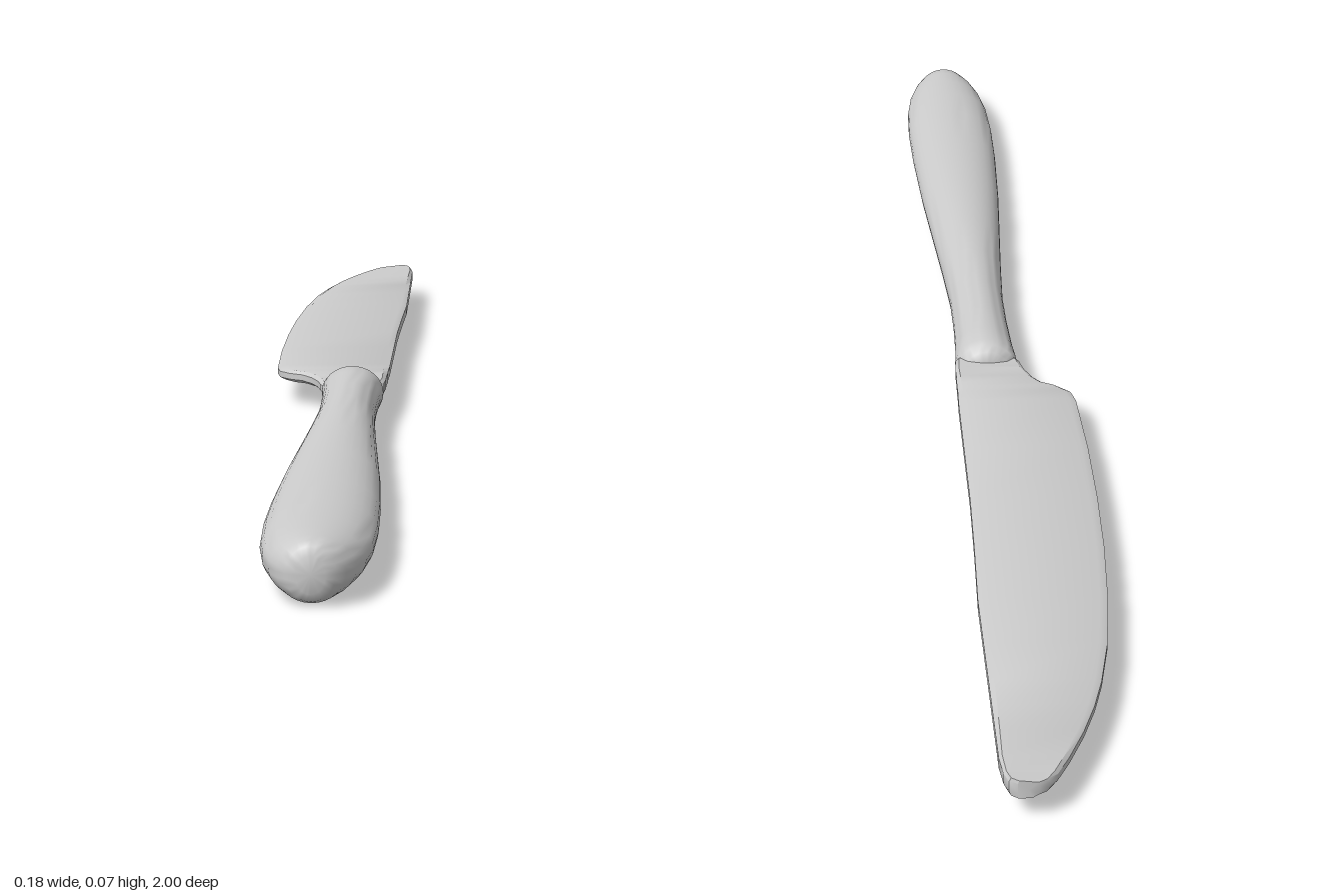
import * as THREE from 'three';
import { toCreasedNormals } from 'three/addons/utils/BufferGeometryUtils.js';

// Skin equal-sized rings (counter-clockwise seen from +z, ordered by rising z) and cap both ends.
function loft(rings, crease) {
  const n = rings[0].length, pos = [], index = [];
  rings.forEach(r => r.forEach(p => pos.push(...p)));
  for (let i = 0; i < rings.length - 1; i++) {
    for (let j = 0; j < n; j++) {
      const a = i * n + j, b = i * n + (j + 1) % n;
      index.push(a, b, b + n, a, b + n, a + n);
    }
  }
  [0, rings.length - 1].forEach(i => {
    const c = pos.length / 3;
    pos.push(...[0, 1, 2].map(k => rings[i].reduce((s, p) => s + p[k], 0) / n));
    for (let j = 0; j < n; j++) {
      const a = i * n + j, b = i * n + (j + 1) % n;
      if (i) index.push(c, a, b); else index.push(c, b, a);
    }
  });
  const g = new THREE.BufferGeometry();
  g.setAttribute('position', new THREE.Float32BufferAttribute(pos, 3));
  g.setIndex(index);
  return toCreasedNormals(g, crease);
}

export function createModel() {
  const steel = new THREE.MeshStandardMaterial({ color: 0xcccccc });
  steel.name = 'steel';
  const group = new THREE.Group();
  group.name = 'tableKnife';
  const add = (name, geometry) => {
    const mesh = new THREE.Mesh(geometry, steel);
    mesh.name = name;
    group.add(mesh);
  };

  // Handle: elliptical sections [z, half width, half height], widening towards a rounded butt
  const handle = [
    [-0.014, 0.016, 0.014], [-0.009, 0.031, 0.027], [0, 0.039, 0.034], [0.012, 0.0415, 0.0365],
    [0.05, 0.039, 0.0365], [0.12, 0.037, 0.036], [0.2, 0.037, 0.036], [0.3, 0.042, 0.036],
    [0.4, 0.048, 0.036], [0.55, 0.057, 0.036], [0.7, 0.063, 0.036], [0.8, 0.0645, 0.036],
    [0.88, 0.062, 0.036], [0.93, 0.056, 0.036], [0.965, 0.047, 0.0355], [0.985, 0.037, 0.034],
    [0.995, 0.027, 0.03], [1, 0.016, 0.021],
  ].map(([z, w, h]) => Array.from({ length: 32 }, (_, j) => {
    const t = j / 32 * Math.PI * 2;
    return [0.0225 + w * Math.cos(t), 0.039 + h * Math.sin(t), z];
  }));
  add('handle', loft(handle, 1.0));

  // Blade: sections [z, cutting edge x, spine x], with the underside rising to the cutting edge
  const blade = [
    [-1, 0.036, 0.06], [-0.994, 0.025, 0.069], [-0.98, 0.015, 0.074], [-0.95, 0, 0.077],
    [-0.9, -0.021, 0.077], [-0.85, -0.038, 0.077], [-0.8, -0.051, 0.077], [-0.72, -0.066, 0.077],
    [-0.62, -0.077, 0.077], [-0.5, -0.085, 0.073], [-0.38, -0.089, 0.07], [-0.25, -0.09, 0.069],
    [-0.12, -0.087, 0.068], [-0.095, -0.082, 0.067], [-0.08, -0.068, 0.067], [-0.07, -0.05, 0.067],
    [-0.05, -0.036, 0.066], [-0.025, -0.026, 0.066], [0, -0.021, 0.064], [0.008, -0.015, 0.055],
  ].map(([z, l, r]) => {
    const w = r - l;
    return [
      [r, 0.037, z], [r, 0.05, z], [r - 0.05 * w, 0.054, z], [l + 0.06 * w, 0.051, z],
      [l, 0.047, z], [l, 0.039, z], [l + 0.06 * w, 0.035, z], [l + 0.35 * w, 0.031, z],
      [r - 0.05 * w, 0.031, z],
    ];
  });
  add('blade', loft(blade, 0.6));

  return group;
}
